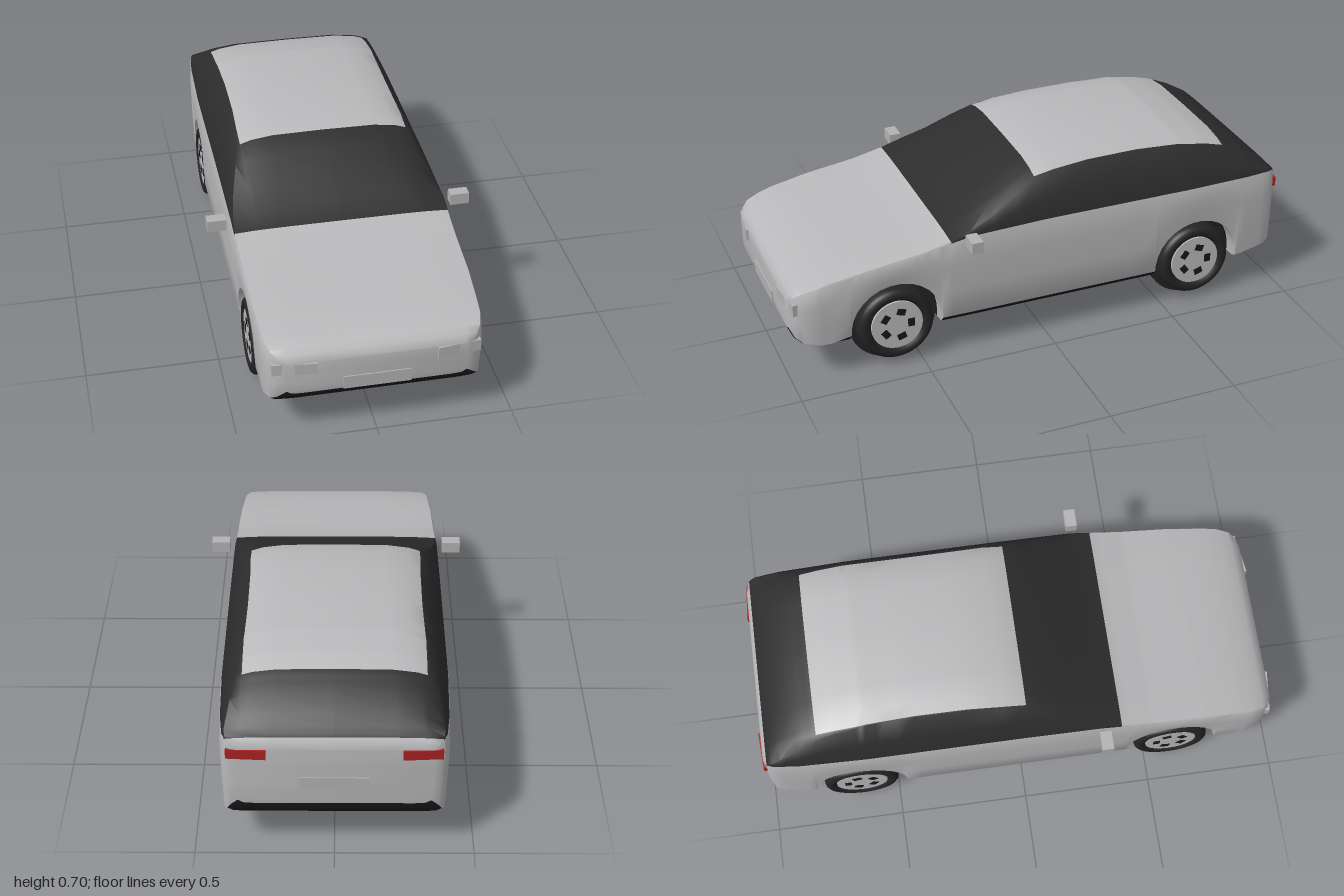
import * as THREE from 'three';
import { toCreasedNormals } from 'three/addons/utils/BufferGeometryUtils.js';

const mat = (name, color, side = THREE.FrontSide) => {
  const m = new THREE.MeshStandardMaterial({ color, side });
  m.name = name;
  return m;
};

// Body curves along z: [z, value], from nose to tail
const TOP = [[0.99, 0.335], [0.975, 0.36], [0.95, 0.378], [0.85, 0.408], [0.7, 0.435], [0.5, 0.462], [0.38, 0.488],
  [0.3, 0.528], [0.2, 0.582], [0.1, 0.635], [0.02, 0.67], [-0.06, 0.689], [-0.2, 0.7], [-0.4, 0.702], [-0.58, 0.693],
  [-0.7, 0.668], [-0.77, 0.645], [-0.85, 0.606], [-0.92, 0.56], [-0.97, 0.511], [-0.985, 0.487], [-0.992, 0.465]];
const WIDTH = [[0.99, 0.33], [0.975, 0.365], [0.95, 0.385], [0.9, 0.4], [0.7, 0.41], [0.3, 0.415], [-0.6, 0.415],
  [-0.85, 0.407], [-0.95, 0.396], [-0.975, 0.385], [-0.985, 0.37], [-0.992, 0.345]];
const BOTTOM = [[0.99, 0.2], [0.975, 0.17], [0.95, 0.15], [0.88, 0.135], [0.7, 0.13], [-0.7, 0.13],
  [-0.85, 0.145], [-0.95, 0.16], [-0.975, 0.175], [-0.985, 0.2], [-0.992, 0.225]];
const AXLES = [0.595, -0.64], ARCH = 0.177, AXLE_Y = 0.17;

function along(list, z) {
  for (let i = 1; i < list.length; i++) {
    const [z0, a] = list[i - 1], [z1, b] = list[i];
    if (z >= z1) return a + (b - a) * (z0 - z) / (z0 - z1);
  }
  return list[list.length - 1][1];
}

function archHeight(z) {
  for (const c of AXLES) {
    const d = Math.abs(z - c);
    if (d < ARCH) return AXLE_Y + Math.sqrt(ARCH * ARCH - d * d);
  }
  return 0;
}

// Half cross-section from the keel, up the side, to the roof centre
function section(z) {
  const w = along(WIDTH, z), yt = along(TOP, z), arch = archHeight(z);
  const yb = arch || along(BOTTOM, z);
  const belt = Math.min(z > 0 ? 0.5 - 0.03 * z : 0.5, yt - 0.012);
  const h = yt - belt, drop = Math.min(0.035, h * 0.5), ye = yt - drop;
  const bx = 0.985 * w, cx = bx - 0.515 * (ye - belt);
  const sill = arch ? 0.002 : Math.abs(z) < 0.8 ? 0.033 : 0.014;
  const y3 = yb + sill;
  const pts = [[0, yb], [0.82 * w, yb], [(arch ? 0.975 : 0.93) * w, yb + sill * 0.2], [0.985 * w, y3],
    [0.997 * w, y3 + (belt - y3) * 0.35], [w, y3 + (belt - y3) * 0.7], [bx, belt],
    [(bx + cx) / 2 + 0.03 * h, (belt + ye) / 2], [cx, ye]];
  for (const x of [Math.min(0.325, cx - 0.004), 0.27 * cx / 0.325, 0.19 * cx / 0.325, 0])
    pts.push([Math.min(x, cx), yt - drop * Math.pow(x / cx, 5)]);
  // keep the roof rows in order where the cabin is wide
  pts[10][0] = Math.min(pts[10][0], pts[9][0] - 0.02);
  pts[10][1] = yt - drop * Math.pow(pts[10][0] / cx, 5);
  return pts;
}

function bodyGeometry() {
  const zs = new Set([...TOP, ...WIDTH, ...BOTTOM].map((p) => p[0]));
  for (const c of AXLES)
    for (const f of [1.003, 0.995, 0.95, 0.86, 0.72, 0.54, 0.34, 0.12])
      for (const s of [-1, 1]) zs.add(c + s * f * ARCH);
  const stations = [...zs].sort((a, b) => b - a);
  const rows = 13, ring = 2 * (rows - 1), pos = [];
  for (const z of stations) {
    const half = section(z);
    half.forEach(([x, y]) => pos.push(x, y, z));
    for (let i = rows - 2; i > 0; i--) pos.push(-half[i][0], half[i][1], z);
  }
  // faces sorted by material: 0 paint, 1 glass, 2 underside
  const faces = [[], [], []];
  for (let k = 0; k < stations.length - 1; k++) {
    const z = (stations[k] + stations[k + 1]) / 2;
    for (let j = 0; j < ring; j++) {
      const r = j < rows - 1 ? j : ring - 1 - j;
      let m = 0;
      if (r < 3) m = archHeight(z) && r > 0 ? 0 : 2;
      else if (r >= 6 && z < 0.38 && z > -0.978) m = r >= 9 && z < 0.02 && z > -0.77 ? 0 : 1;
      const j1 = (j + 1) % ring, a = k * ring + j, b = k * ring + j1;
      faces[m].push(a, a + ring, b + ring, a, b + ring, b);
    }
  }
  // nose and tail caps
  const last = (stations.length - 1) * ring;
  for (let i = 0; i < rows - 1; i++) {
    const p = i, q = i + 1, mq = ring - q, mp = (ring - p) % ring;
    if (q !== mq) {
      faces[0].push(p, q, mq);
      faces[0].push(last + p, last + mq, last + q);
    }
    if (p !== mp) {
      faces[0].push(p, mq, mp);
      faces[0].push(last + p, last + mp, last + mq);
    }
  }
  const g = new THREE.BufferGeometry();
  g.setAttribute('position', new THREE.Float32BufferAttribute(pos, 3));
  g.setIndex(faces.flat());
  let start = 0;
  faces.forEach((f, i) => { g.addGroup(start, f.length, i); start += f.length; });
  return toCreasedNormals(g, 0.75);
}

export function createModel() {
  const car = new THREE.Group();
  car.name = 'car';
  const paint = mat('silver paint', 0xb8b8ba);
  const glass = mat('dark glass', 0x2c2c2c);
  const under = mat('underside black', 0x191919);
  const rubber = mat('tyre rubber', 0x242424);
  const metal = mat('wheel metal', 0xbcbcbe);
  const red = mat('tail light red', 0xa82222);
  const trim = mat('light grey trim', 0xb2b2b2);

  const add = (parent, name, geo, material, x = 0, y = 0, z = 0) => {
    const m = new THREE.Mesh(geo, material);
    m.name = name;
    m.position.set(x, y, z);
    parent.add(m);
    return m;
  };

  add(car, 'body', bodyGeometry(), [paint, glass, under]);

  // Wheel pairs: a wide drum with a narrower rounded tyre at each end
  const side = [[0.17, 0.34], [0.146, 0.34], [0.146, 0.38], [0.143, 0.394], [0.134, 0.403], [0.122, 0.406],
    [0.106, 0.4], [0.1, 0.39], [0, 0.39]];
  const profile = [...side.map(([r, x]) => [r, -x]).reverse(), ...side].map(([r, x]) => new THREE.Vector2(r, x));
  const tyreGeo = toCreasedNormals(new THREE.LatheGeometry(profile, 48), 0.7);
  tyreGeo.rotateZ(-Math.PI / 2);
  const hubGeo = new THREE.CylinderGeometry(0.1, 0.1, 0.014, 36).rotateZ(Math.PI / 2);
  const holeGeo = new THREE.BoxGeometry(0.006, 0.034, 0.026);
  AXLES.forEach((z, n) => {
    const axle = new THREE.Group();
    axle.name = n ? 'rearWheels' : 'frontWheels';
    axle.position.set(0, AXLE_Y, z);
    car.add(axle);
    add(axle, 'tyres', tyreGeo, rubber);
    for (const s of [-1, 1]) {
      add(axle, 'hub', hubGeo, metal, s * 0.392);
      for (let i = 0; i < 5; i++) {
        const a = i * Math.PI * 2 / 5;
        const hole = add(axle, 'hubHole', holeGeo, under, s * 0.398, 0.055 * Math.sin(a), -0.055 * Math.cos(a));
        hole.rotation.x = a;
      }
    }
  });

  // Lights and mirrors on both sides
  for (const s of [-1, 1]) {
    add(car, 'headlight', new THREE.BoxGeometry(0.16, 0.046, 0.03), trim, s * 0.295, 0.307, 0.975).rotation.y = s * 0.12;
    add(car, 'tailLight', new THREE.BoxGeometry(0.14, 0.038, 0.025), red, s * 0.307, 0.441, -0.983).rotation.y = -s * 0.06;
    add(car, 'mirror', new THREE.BoxGeometry(0.072, 0.045, 0.044), trim, s * 0.465, 0.492, 0.311);
  }

  // Blank number plates
  const plateGeo = new THREE.BoxGeometry(0.245, 0.052, 0.009);
  add(car, 'frontPlate', plateGeo, trim, 0, 0.225, 0.99);
  add(car, 'rearPlate', plateGeo, trim, 0, 0.315, -0.992);
  return car;
}
